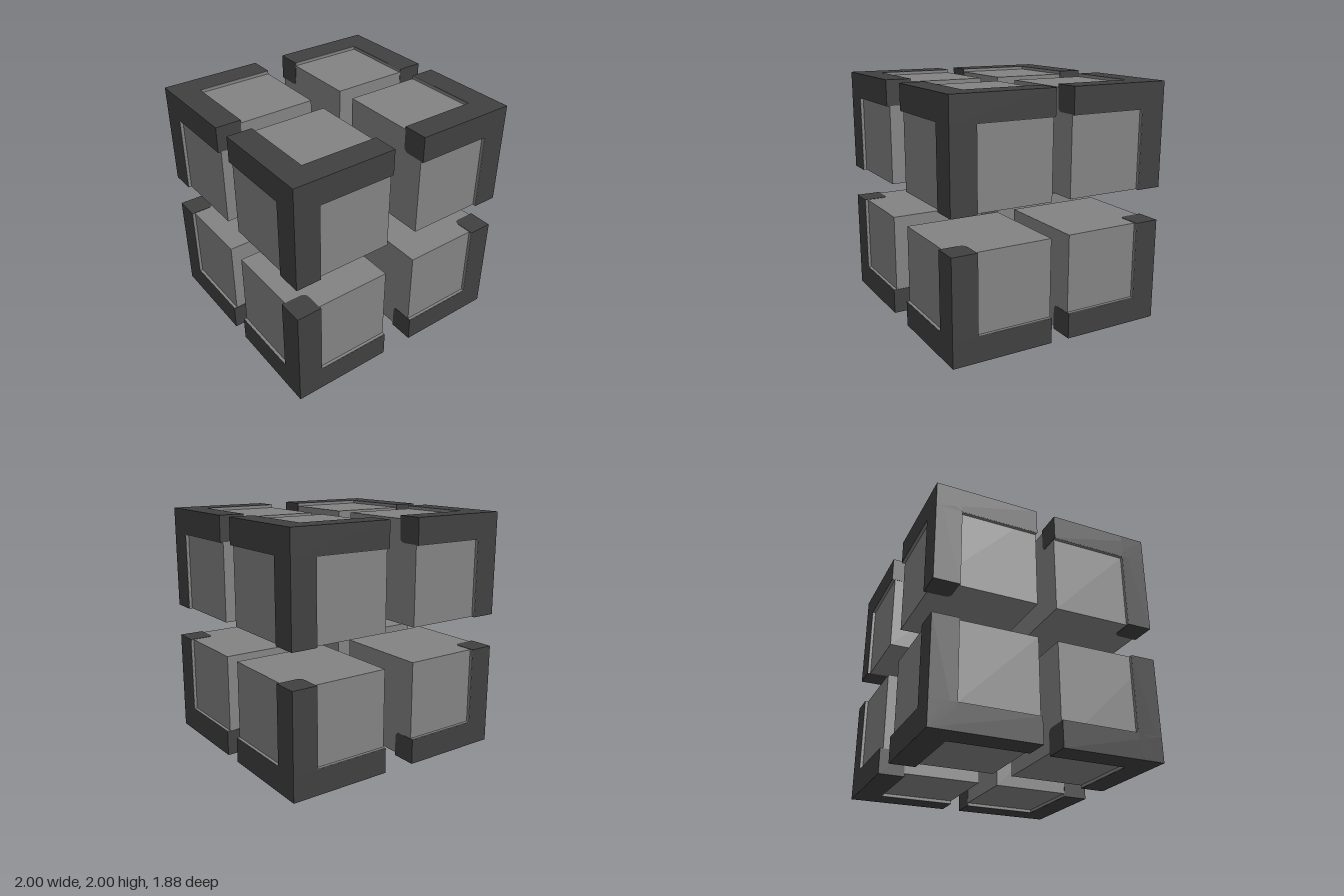
import * as THREE from 'three';

const SIZE = 0.86;    // edge of one block
const INNER = 0.65;   // where the edge bars begin
const FACE = 0.834;   // recessed face of the core
const LIP = 0.003;    // bar ends stand just proud of the core

export function createModel() {
  const grey = new THREE.MeshStandardMaterial({ name: 'mid grey', color: 0x838383 });
  const dark = new THREE.MeshStandardMaterial({ name: 'dark grey', color: 0x404040 });

  const box = (name, x0, x1, y0, y1, z0, z1) => {
    const mesh = new THREE.Mesh(new THREE.BoxGeometry(x1 - x0, y1 - y0, z1 - z0), grey);
    mesh.position.set((x0 + x1) / 2, (y0 + y1) / 2, (z0 + z1) / 2);
    mesh.name = name;
    return mesh;
  };

  // Square bar section with a rounded inner corner, run along z
  const r = 0.05;
  const section = new THREE.Shape();
  section.moveTo(INNER + r, INNER);
  section.lineTo(SIZE, INNER);
  section.lineTo(SIZE, SIZE);
  section.lineTo(INNER, SIZE);
  section.lineTo(INNER, INNER + r);
  section.quadraticCurveTo(INNER, INNER, INNER + r, INNER);
  const barGeometry = new THREE.ExtrudeGeometry(section, { depth: SIZE, bevelEnabled: false, curveSegments: 6 });

  // One block: grey core and three dark bars meeting at its outer corner
  const diagonal = new THREE.Vector3(1, 1, 1).normalize();
  const createBlock = () => {
    const block = new THREE.Group();
    block.add(box('core', LIP, FACE, LIP, FACE, LIP, FACE));
    for (let i = 0; i < 3; i++) {
      const edge = new THREE.Group();
      edge.name = 'cornerBracketArm';
      const bar = new THREE.Mesh(barGeometry, dark);
      bar.name = 'edgeBar';
      edge.add(bar);
      // Grey lining on the walls of the recesses
      const t = INNER - 0.004, top = SIZE - 0.001;
      edge.add(box('recessLining', t, INNER + 0.001, FACE - 0.01, top, LIP, INNER));
      edge.add(box('recessLining', FACE - 0.01, top, t, INNER + 0.001, LIP, INNER));
      edge.quaternion.setFromAxisAngle(diagonal, i * Math.PI * 2 / 3);
      block.add(edge);
    }
    return block;
  };

  // Eight blocks, each turned to point its bracket outwards
  const model = new THREE.Group();
  model.name = 'splitCube';
  for (const up of [1, -1]) {
    for (let k = 0; k < 4; k++) {
      const block = createBlock();
      block.name = up > 0 ? 'upperBlock' : 'lowerBlock';
      const flip = new THREE.Quaternion().setFromAxisAngle(new THREE.Vector3(1, 0, 0), up > 0 ? 0 : Math.PI);
      const turn = new THREE.Quaternion().setFromAxisAngle(new THREE.Vector3(0, 1, 0), k * Math.PI / 2);
      block.quaternion.copy(turn.multiply(flip));
      const out = new THREE.Vector3(1, 1, 1).applyQuaternion(block.quaternion);
      block.position.set(Math.sign(out.x) * 0.14, 1 + up * 0.14, Math.sign(out.z) * 0.08);
      model.add(block);
    }
  }
  return model;
}
